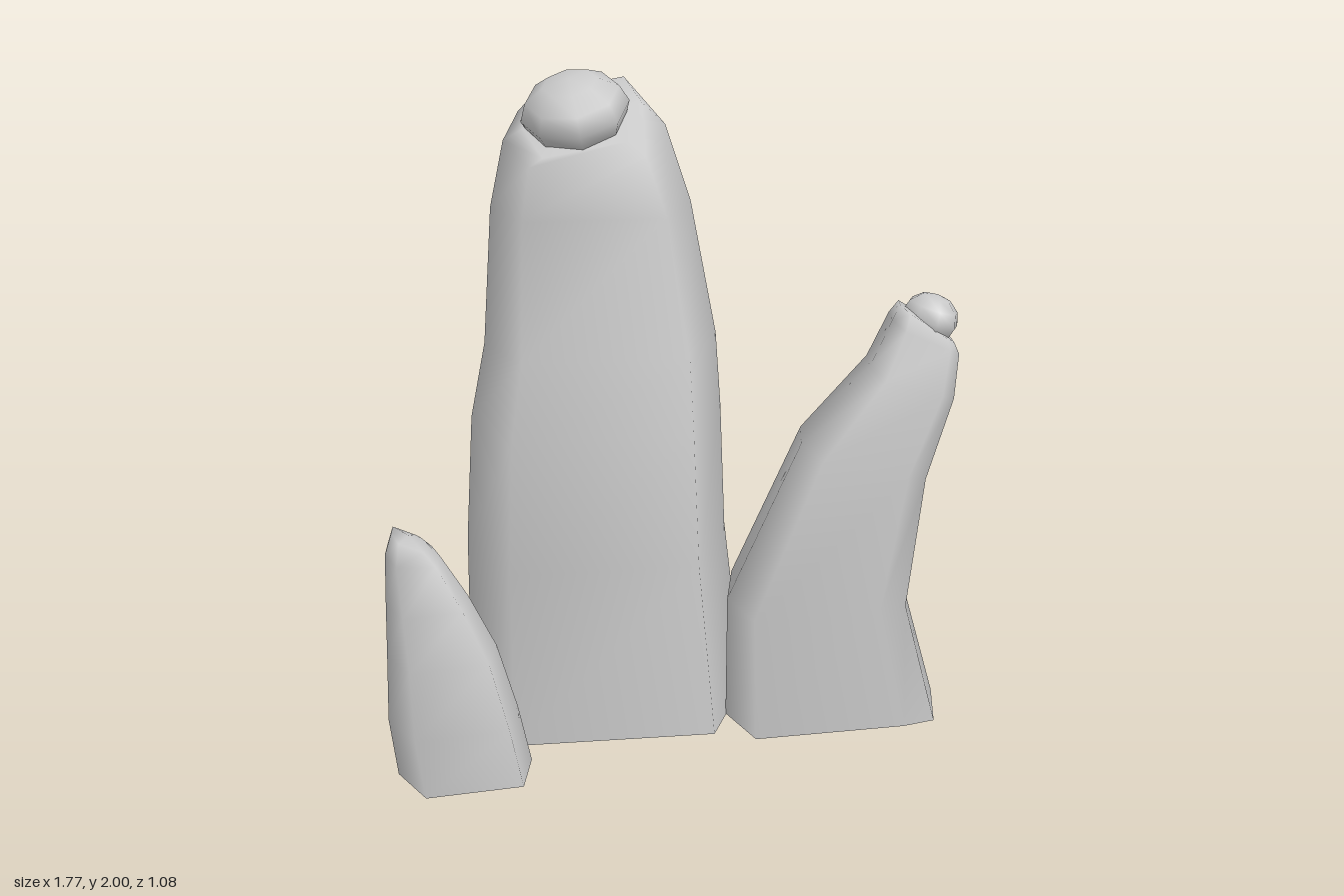
import * as THREE from 'three';

// Lofts a plan outline (u, v in 0..1, clockwise from above) through rings of
// [y, xMin, xMax, zMin, zMax, tiltX, tiltZ]; open at the bottom, closed on top.
function loft(outline, rings) {
  const pos = [], index = [], n = outline.length;
  for (const [y, x0, x1, z0, z1, tx = 0, tz = 0] of rings) {
    for (const [u, v] of outline) {
      pos.push(x0 + (x1 - x0) * u, y + tx * (u - 0.5) + tz * (v - 0.5), z0 + (z1 - z0) * v);
    }
  }
  const [y, x0, x1, z0, z1] = rings[rings.length - 1];
  pos.push((x0 + x1) / 2, y + 0.015, (z0 + z1) / 2);
  const tip = rings.length * n;
  for (let i = 0; i < rings.length; i++) {
    for (let j = 0; j < n; j++) {
      const a = i * n + j, b = i * n + (j + 1) % n;
      if (i < rings.length - 1) index.push(a, a + n, b, b, a + n, b + n);
      else index.push(b, a, tip);
    }
  }
  const geo = new THREE.BufferGeometry();
  geo.setAttribute('position', new THREE.Float32BufferAttribute(pos, 3));
  geo.setIndex(index);
  geo.computeVertexNormals();
  return geo;
}

export function createModel() {
  const group = new THREE.Group();
  const stone = new THREE.MeshStandardMaterial({ color: 0xc8c8c8, side: THREE.DoubleSide });
  stone.name = 'stone grey';

  const add = (name, geo) => {
    const mesh = new THREE.Mesh(geo, stone);
    mesh.name = name;
    group.add(mesh);
    return mesh;
  };

  // Tall central spire
  add('tallSpire', loft(
    [[0.125, 0.01], [0.89, 0], [1, 0.46], [0.83, 0.99], [0.125, 1], [0, 0.5]],
    [
      [0, -0.61, 0.26, -0.49, 0.2],
      [0.55, -0.61, 0.2, -0.535, 0.2],
      [0.94, -0.59, 0.185, -0.485, 0.15],
      [1.17, -0.545, 0.17, -0.45, 0.095],
      [1.59, -0.52, 0.09, -0.395, 0.045],
      [1.81, -0.48, 0.01, -0.345, 0.03, 0.03, -0.1],
      [1.86, -0.42, -0.06, -0.3, -0.01, 0.06, -0.14],
    ]));

  // Leaning spire on the left
  add('leaningSpire', loft(
    [[0.09, 0.12], [0.85, 0], [1, 0.4], [0.93, 0.87], [0.78, 0.93], [0.09, 1], [0, 0.6]],
    [
      [0, 0.17, 0.85, -0.27, 0.25],
      [0.39, 0.17, 0.74, -0.24, 0.26],
      [0.83, 0.395, 0.785, -0.195, 0.225, -0.1],
      [1.065, 0.605, 0.865, -0.155, 0.175, -0.09],
      [1.2, 0.675, 0.88, -0.14, 0.14, -0.1],
      [1.235, 0.7, 0.87, -0.1, 0.1, -0.12],
    ]));

  // Small spire on the right
  add('smallSpire', loft(
    [[0.07, 0.08], [0.72, 0], [0.88, 0.03], [1, 0.4], [0.9, 0.89], [0.18, 1], [0, 0.53]],
    [
      [0, -0.86, -0.46, 0.15, 0.535],
      [0.18, -0.885, -0.5, 0.165, 0.54],
      [0.38, -0.883, -0.56, 0.185, 0.515],
      [0.54, -0.882, -0.64, 0.21, 0.485],
      [0.68, -0.88, -0.72, 0.24, 0.455, -0.02],
      [0.73, -0.86, -0.76, 0.27, 0.42, -0.05],
    ]));

  // Rounded tips
  const tallTip = add('tallTip', new THREE.SphereGeometry(1, 8, 6));
  tallTip.scale.set(0.165, 0.112, 0.165);
  tallTip.position.set(-0.265, 1.882, -0.135);
  tallTip.rotation.set(0.33, 0, 0.2);

  const leaningTip = add('leaningTip', new THREE.SphereGeometry(1, 8, 6));
  leaningTip.scale.set(0.09, 0.077, 0.1);
  leaningTip.position.set(0.797, 1.245, 0);
  leaningTip.rotation.z = -0.3;

  return group;
}
